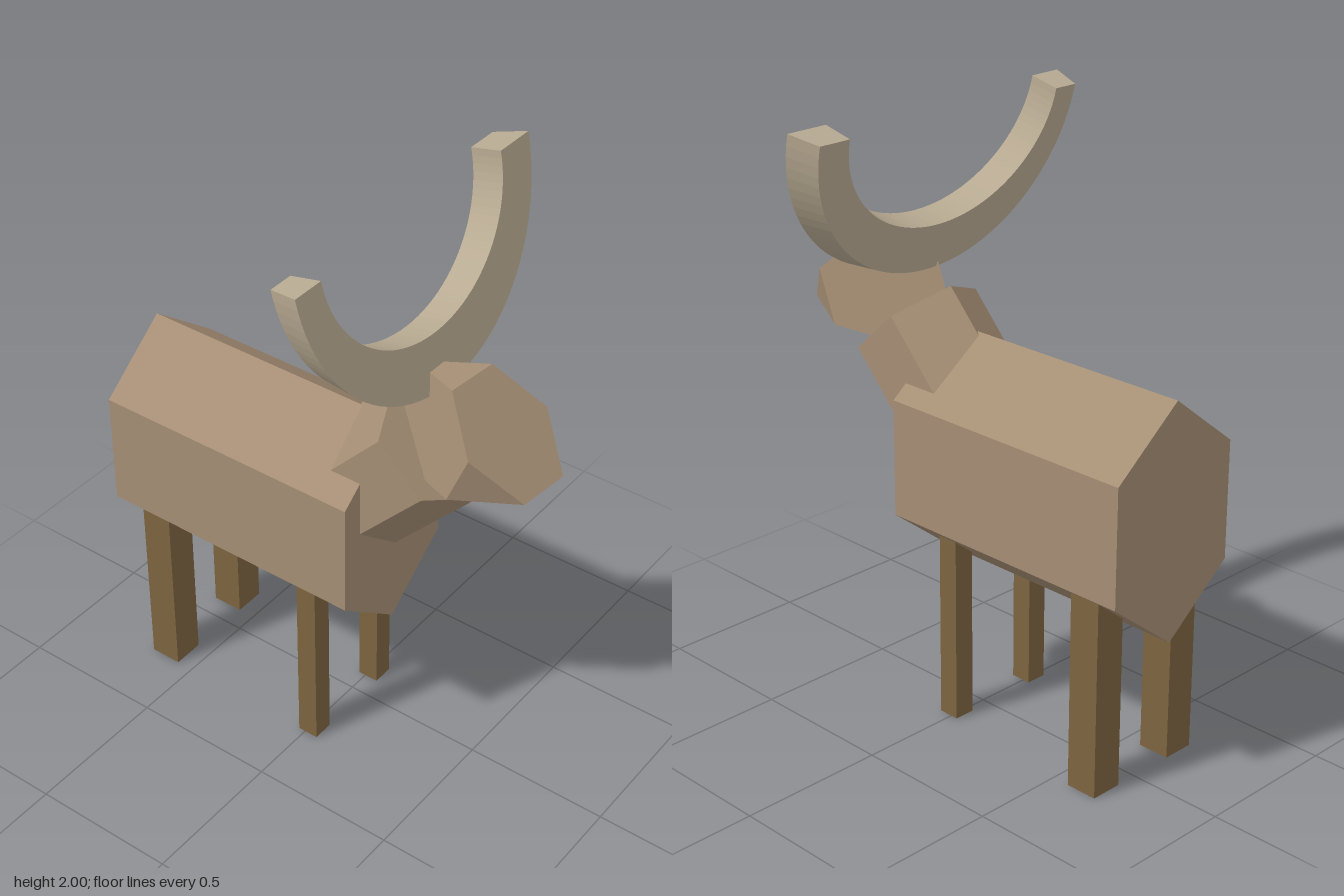
import * as THREE from 'three';
import { ConvexGeometry } from 'three/addons/geometries/ConvexGeometry.js';

const mat = (color) => new THREE.MeshStandardMaterial({ color, flatShading: true });

export function createModel() {
  const model = new THREE.Group();
  const hide = mat(0xa58e74), wood = mat(0x7d6440), bone = mat(0xb8aa92);

  const add = (name, geometry, material, x = 0, y = 0, z = 0) => {
    const mesh = new THREE.Mesh(geometry, material);
    mesh.name = name;
    mesh.position.set(x, y, z);
    model.add(mesh);
    return mesh;
  };

  // Body: hexagonal prism lying along z, ridges at top and bottom
  const body = new THREE.CylinderGeometry(0.397, 0.397, 0.95, 6);
  body.rotateX(Math.PI / 2).scale(0.734, 1, 1);
  add('body', body, hide, -0.053, 0.879, -0.275);

  // Neck: regular hexagonal prism leaning forward out of the chest
  const neckLength = 0.5, lean = 0.748;
  const neck = new THREE.CylinderGeometry(0.216, 0.216, neckLength, 6);
  neck.translate(0, -neckLength / 2, 0).rotateX(lean);
  add('neck', neck, hide, -0.042, 1.255, 0.345);

  // Head: a tetrahedron with its corners cut off at a third of each edge
  const corners = [
    [-0.045, 1.69, 0.335],
    [0.22, 1.255, 0.762],
    [-0.32, 1.255, 0.708],
    [-0.035, 1.165, 0.115],
  ].map((p) => new THREE.Vector3(...p));
  const headPoints = [];
  for (const a of corners) {
    for (const b of corners) if (a !== b) headPoints.push(a.clone().lerp(b, 1 / 3));
  }
  add('head', new ConvexGeometry(headPoints), hide);

  // Legs: thin pair in front, thicker pair behind
  const leg = (name, x, z, width) =>
    add(name, new THREE.BoxGeometry(width, 0.75, width), wood, x + width / 2, 0.375, z + width / 2);
  for (const [side, x] of [['Right', -0.265], ['Left', 0.075]]) {
    leg('front' + side + 'Leg', x, -0.025, 0.073);
    leg('back' + side + 'Leg', x, -0.672, 0.111);
  }

  add('horns', hornGeometry(), bone, 0, 2, 0.235).rotation.x = -0.224;
  return model;
}

// Half ring open at the top, outer wall slightly tapered towards the back
function hornGeometry() {
  const segments = 48, depth = 0.108;
  // Each corner of the section: centre x, radius x, radius y, z
  const section = [
    [-0.003, 0.567, 0.563, 0],
    [-0.02, 0.436, 0.38, 0],
    [-0.02, 0.436, 0.38, -depth],
    [-0.006, 0.537, 0.535, -depth],
  ];
  const positions = [], index = [];
  for (let i = 0; i <= segments; i++) {
    const t = Math.PI + (Math.PI * i) / segments;
    for (const [cx, rx, ry, z] of section) {
      positions.push(cx + rx * Math.cos(t), ry * Math.sin(t), z);
    }
  }
  for (let i = 0; i < segments; i++) {
    for (let k = 0; k < 4; k++) {
      const a = i * 4 + k, b = i * 4 + ((k + 1) % 4);
      index.push(a, a + 4, b, b, a + 4, b + 4);
    }
  }
  // End caps
  const e = segments * 4;
  index.push(0, 1, 2, 0, 2, 3, e, e + 2, e + 1, e, e + 3, e + 2);
  const indexed = new THREE.BufferGeometry();
  indexed.setAttribute('position', new THREE.Float32BufferAttribute(positions, 3));
  indexed.setIndex(index);
  const geometry = indexed.toNonIndexed();
  geometry.computeVertexNormals();
  return geometry;
}
